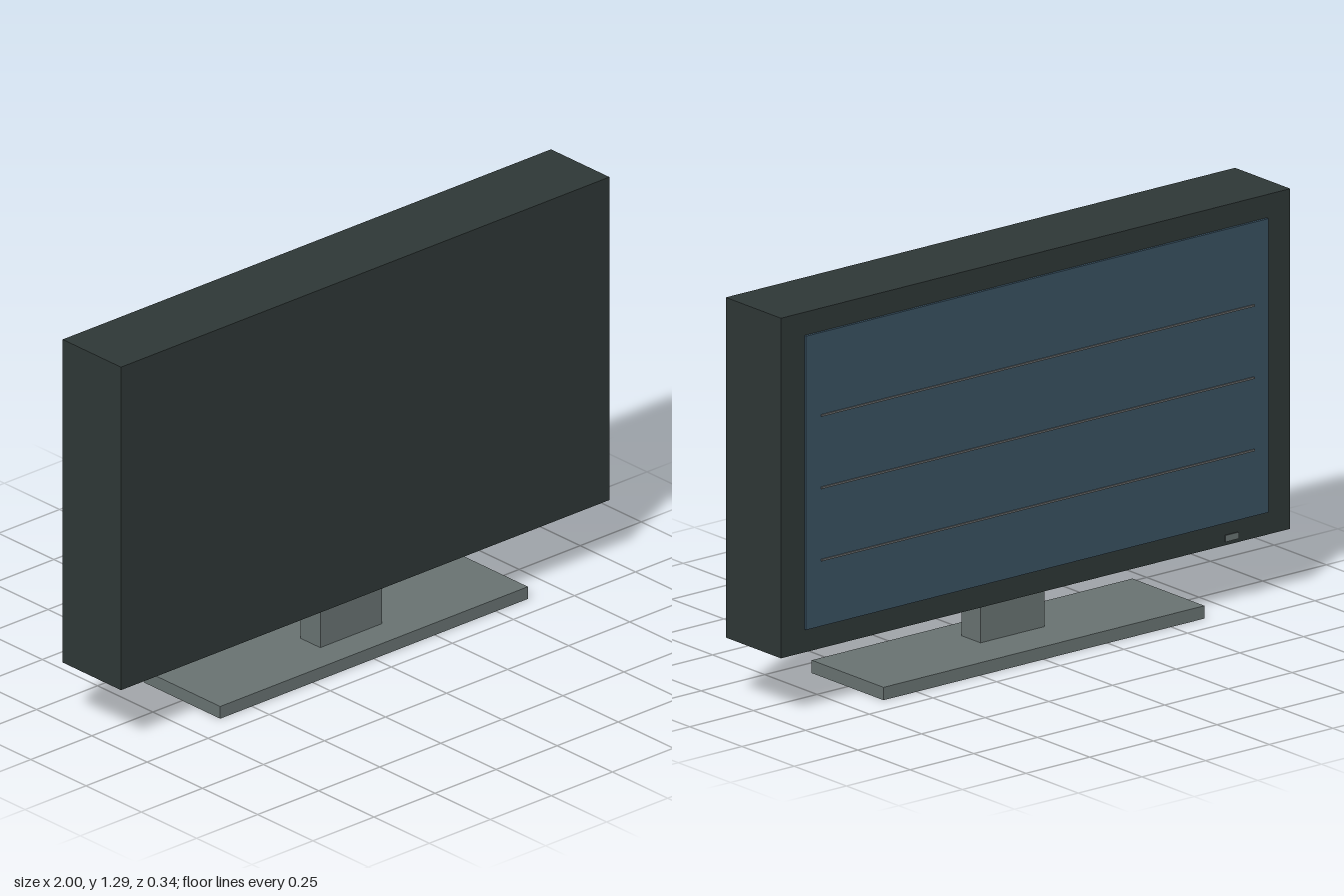
import * as THREE from 'three';

const material = (color) => new THREE.MeshStandardMaterial({ color });

export function createModel() {
  const model = new THREE.Group();
  const dark = material(0x2e3736);
  const grey = material(0x687271);
  const blue = material(0x385060);
  const trim = material(0x66696a);

  // Box given by its extents along each axis
  function box(name, mat, [x0, x1], [y0, y1], [z0, z1]) {
    const mesh = new THREE.Mesh(new THREE.BoxGeometry(x1 - x0, y1 - y0, z1 - z0), mat);
    mesh.position.set((x0 + x1) / 2, (y0 + y1) / 2, (z0 + z1) / 2);
    mesh.name = name;
    model.add(mesh);
  }

  // Stand
  box('base', grey, [-0.63, 0.63], [0, 0.041], [-0.172, 0.172]);
  box('neck', grey, [-0.126, 0.126], [0.041, 0.2], [-0.022, 0.068]);

  // Cabinet and the screen panel on its back
  box('cabinet', dark, [-1, 1], [0.2, 1.286], [-0.132, 0.132]);
  box('screen', blue, [-0.908, 0.908], [0.274, 1.212], [-0.141, -0.131]);

  // Thin lines across the screen
  for (const y of [0.485, 0.716, 0.947]) {
    box('screenLine', trim, [-0.85, 0.85], [y - 0.003, y + 0.003], [-0.145, -0.14]);
  }

  // Small button set just clear of the lower bezel
  box('powerButton', grey, [-0.787, -0.735], [0.216, 0.237], [-0.146, -0.142]);

  return model;
}
